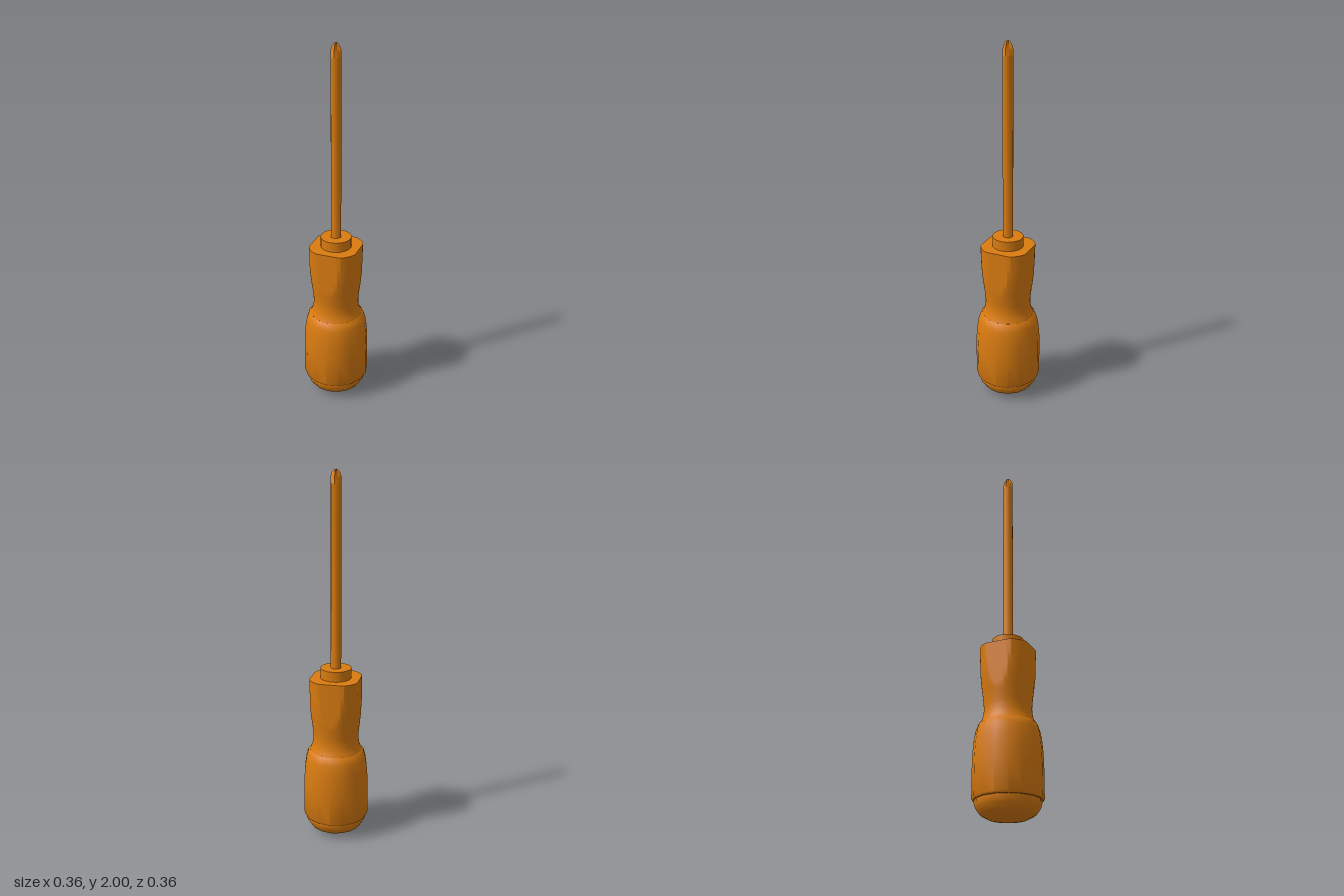
import * as THREE from 'three';
import { toCreasedNormals } from 'three/addons/utils/BufferGeometryUtils.js';

const material = new THREE.MeshStandardMaterial({ color: 0xd97b10 });

// Turned part from [radius, y] points listed bottom to top
function turned(name, points, sides, crease = 0.5, reshape = null) {
  const geometry = new THREE.LatheGeometry(points.map(([r, y]) => new THREE.Vector2(r, y)), sides);
  if (reshape) reshape(geometry.attributes.position);
  const mesh = new THREE.Mesh(toCreasedNormals(geometry, crease), material);
  mesh.name = name;
  return mesh;
}

export function createModel() {
  const model = new THREE.Group();
  model.name = 'screwdriver';

  // Rounded butt of the handle
  const endCap = turned('endCap', [
    [0, 0], [0.05, 0.003], [0.1, 0.013], [0.14, 0.034], [0.16, 0.062], [0.167, 0.085], [0.167, 0.106],
  ], 16);

  // Thick lower part of the handle
  const body = turned('handleBody', [
    [0.16, 0.1], [0.175, 0.1], [0.18, 0.108], [0.18, 0.28], [0.178, 0.34],
    [0.173, 0.4], [0.165, 0.45], [0.155, 0.48], [0.142, 0.493], [0.12, 0.495],
  ], 16, 0.6);
  endCap.rotation.y = body.rotation.y = 0.04;

  // Narrow neck flaring into the upper grip, cut by four flats
  const curve = new THREE.SplineCurve([
    [0.142, 0.49], [0.129, 0.525], [0.124, 0.57], [0.129, 0.63],
    [0.138, 0.7], [0.145, 0.78], [0.149, 0.905],
  ].map(([r, y]) => new THREE.Vector2(r, y)));
  const gripProfile = curve.getPoints(30).map((p) => [p.x, p.y]);
  gripProfile.push([0, 0.905]);
  const flat = 0.132;
  const grip = turned('handleGrip', gripProfile, 48, 0.3, (pos) => {
    for (let i = 0; i < pos.count; i++) {
      if (pos.getY(i) < 0.57) continue;
      pos.setX(i, THREE.MathUtils.clamp(pos.getX(i), -flat, flat));
      pos.setZ(i, THREE.MathUtils.clamp(pos.getZ(i), -flat, flat));
    }
  });

  // Collar and shaft
  const collar = turned('collar', [[0.084, 0.9], [0.084, 0.96], [0, 0.96]], 20);
  const shaft = turned('shaft', [[0.029, 0.95], [0.029, 1.93]], 8, 0.9);

  // Cross tip: every second corner is pulled in to form the flutes
  const tip = turned('crossTip', [
    [0.029, 1.93], [0.028, 1.965], [0.021, 1.985], [0.009, 2], [0, 2],
  ], 8, 0.1, (pos) => {
    for (let i = 0; i < pos.count; i++) {
      const groove = Math.abs(pos.getX(i) * pos.getZ(i)) > 1e-6;
      if (!groove || pos.getY(i) < 1.94) continue;
      const k = pos.getY(i) < 1.97 ? 0.62 : 0.42;
      pos.setX(i, pos.getX(i) * k);
      pos.setZ(i, pos.getZ(i) * k);
    }
  });

  model.add(endCap, body, grip, collar, shaft, tip);
  return model;
}
